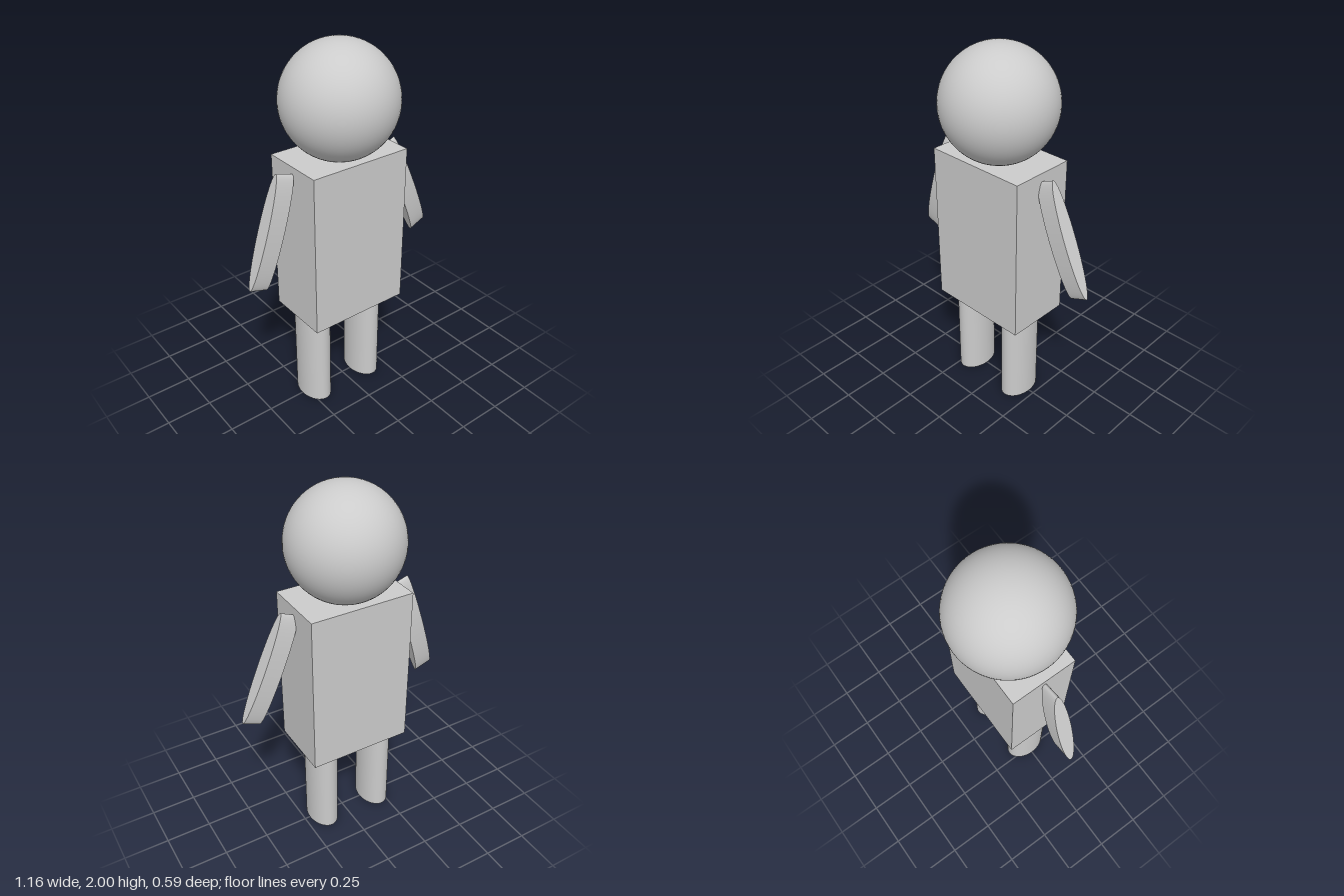
import * as THREE from 'three';

const material = new THREE.MeshStandardMaterial({ color: 0xcccccc });

function addPart(parent, name, geometry, x, y, z = 0) {
  const mesh = new THREE.Mesh(geometry, material);
  mesh.name = name;
  mesh.position.set(x, y, z);
  parent.add(mesh);
  return mesh;
}

export function createModel() {
  const model = new THREE.Group();
  model.name = 'figure';

  // Head rests slightly sunk into the torso
  addPart(model, 'head', new THREE.SphereGeometry(0.297, 64, 40), -0.017, 1.703);
  addPart(model, 'torso', new THREE.BoxGeometry(0.57, 0.885, 0.357), -0.016, 0.992);

  // Legs: upright cylinders of oval section
  const leg = new THREE.CylinderGeometry(1, 1, 0.56, 48).scale(0.081, 1, 0.12);
  addPart(model, 'rightLeg', leg, -0.205, 0.28);
  addPart(model, 'leftLeg', leg, 0.137, 0.28);

  // Arms: long oval discs, their thickness running sideways
  const arm = new THREE.CylinderGeometry(1, 1, 0.1, 64)
    .rotateZ(Math.PI / 2)
    .scale(1, 0.309, 0.041);
  addPart(model, 'rightArm', arm, -0.438, 1.116, 0.003).rotation.z = -0.305;
  addPart(model, 'leftArm', arm, 0.411, 1.116, 0.003).rotation.z = 0.405;

  return model;
}
